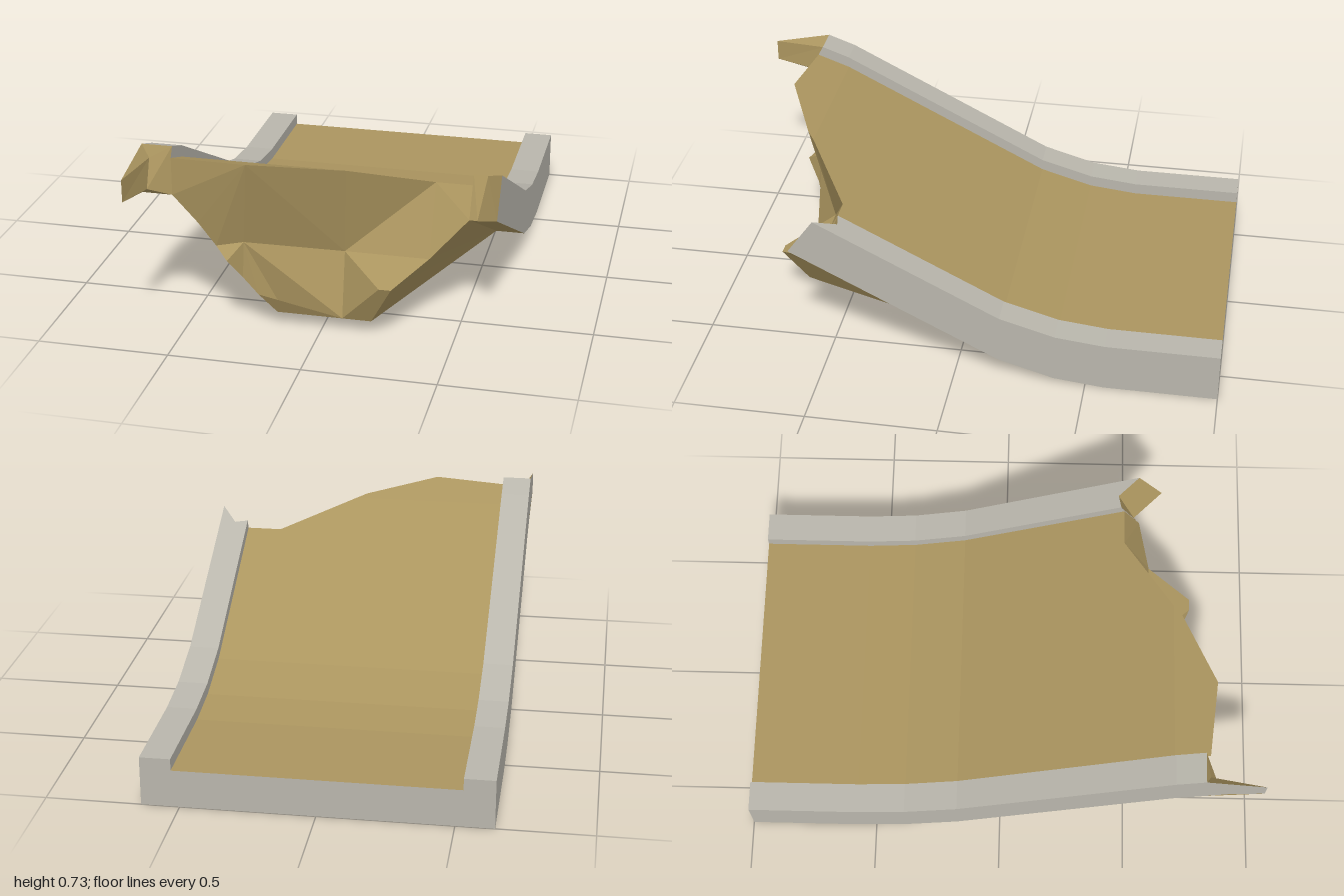
import * as THREE from 'three';

const BREAKS = [-1, -0.57, -0.38, -0.17, 0.66, 1];
const BASE = [0, 0, 0.02, 0.08, 0.50, 0.622];
const OUT = 0.643, INN = 0.528, DECK = 0.145, RAIL = 0.19;

// Height of the slab's lower line at depth z
function base(z) {
  let i = 0;
  while (i < BREAKS.length - 2 && z > BREAKS[i + 1]) i++;
  const t = (z - BREAKS[i]) / (BREAKS[i + 1] - BREAKS[i]);
  return BASE[i] + t * (BASE[i + 1] - BASE[i]);
}
const on = (x, off, z) => [x, base(z) + off, z];

// Fan of triangles, each turned to face the outward direction
function fan(tris, dir, ...pts) {
  const d = new THREE.Vector3(...dir);
  const v = pts.map((p) => new THREE.Vector3(...p));
  for (let i = 1; i < v.length - 1; i++) {
    const n = v[i].clone().sub(v[0]).cross(v[i + 1].clone().sub(v[0]));
    if (n.length() < 1e-7) continue;
    const order = n.dot(d) < 0 ? [v[0], v[i + 1], v[i]] : [v[0], v[i], v[i + 1]];
    order.forEach((p) => tris.push(p.x, p.y, p.z));
  }
}

// Lengthwise strip between two lines [x, height offset, end z] following the slope
function strip(tris, dir, a, b) {
  const at = (l, z) => on(l[0], l[1], Math.min(z, l[2]));
  for (let i = 0; i < BREAKS.length - 1; i++) {
    const z0 = BREAKS[i], z1 = BREAKS[i + 1];
    fan(tris, dir, at(a, z0), at(b, z0), at(b, z1), at(a, z1));
  }
}

export function createModel() {
  const group = new THREE.Group();
  const earth = new THREE.MeshStandardMaterial({ color: 0xab955f, flatShading: true });
  earth.name = 'ochre earth';
  const stone = new THREE.MeshStandardMaterial({ color: 0xb9b6ac, flatShading: true });
  stone.name = 'grey stone';

  function part(name, material, build) {
    const tris = [];
    build(tris);
    const geo = new THREE.BufferGeometry();
    geo.setAttribute('position', new THREE.Float32BufferAttribute(tris, 3));
    geo.computeVertexNormals();
    const mesh = new THREE.Mesh(geo, material);
    mesh.name = name;
    group.add(mesh);
  }

  const UP = [0, 1, 0], DOWN = [0, -1, 0], FRONT = [0, 0, 1];

  // Broken front edge of the deck: [x, z]
  const edge = [[-INN, 0.79], [-0.24, 0.82], [0.05, 0.69], [0.09, 0.66], [0.39, 0.475], [INN, 0.475]];
  const T = edge.map(([x, z]) => on(x, DECK, z));

  part('deck', earth, (t) => {
    for (let i = 0; i < edge.length - 1; i++) {
      strip(t, UP, [edge[i][0], DECK, edge[i][1]], [edge[i + 1][0], DECK, edge[i + 1][1]]);
    }
  });

  // Curbs: top, inner and outer faces
  part('leftCurb', stone, (t) => {
    strip(t, UP, [INN, RAIL, 0.46], [0.58, RAIL, 0.45]);
    strip(t, UP, [0.58, RAIL, 0.45], [OUT, RAIL, 0.53]);
    strip(t, [-1, 0, 0], [INN, RAIL, 0.46], [INN, DECK, 0.475]);
    strip(t, [1, 0, 0], [OUT, RAIL, 0.53], [OUT, 0, 0.63]);
  });
  const A = [-OUT, 0.68, 1], B = [-OUT, 0.595, 1], C = [-0.61, 0.685, 0.79], D = [-0.61, 0.578, 0.83];
  const E = on(-OUT, RAIL, 0.77), F = on(-INN, RAIL, 0.77);
  const G = on(-INN, 0, 0.79), H = on(-OUT, 0, 0.785);
  part('rightCurb', stone, (t) => {
    strip(t, UP, [-INN, RAIL, 0.77], [-OUT, RAIL, 0.77]);
    strip(t, [1, 0, 0], [-INN, RAIL, 0.77], [-INN, DECK, 0.79]);
    strip(t, [-1, 0, 0], [-OUT, RAIL, 0.77], [-OUT, 0, 0.785]);
    fan(t, [-1, 0, 0], E, A, B, [-OUT, 0.578, 0.87], H);
  });

  // Rear end with its notch
  part('rearFace', stone, (t) => {
    const back = [0, 0, -1];
    fan(t, back, [-INN, 0, -1], [INN, 0, -1], [INN, DECK, -1], [-INN, DECK, -1]);
    for (const s of [-1, 1]) {
      fan(t, back, [s * INN, 0, -1], [s * OUT, 0, -1], [s * OUT, RAIL, -1], [s * INN, RAIL, -1]);
    }
  });

  // Broken curb ends, with the splinter on the right one
  part('leftCurbEnd', earth, (t) => {
    const top = on(0.58, RAIL, 0.45), low = on(0.555, 0, 0.52);
    fan(t, FRONT, on(INN, RAIL, 0.46), top, low, on(INN, 0, 0.54));
    fan(t, FRONT, top, on(OUT, RAIL, 0.53), on(OUT, 0, 0.63), low);
  });
  part('rightCurbEnd', earth, (t) => {
    fan(t, [0, 1, 1], E, F, C);
    fan(t, [0, 1, 0.2], E, C, A);
    fan(t, [1, 0, 0.2], C, A, B, D);
    fan(t, FRONT, F, C, D, G);
    fan(t, DOWN, H, D, B, [-OUT, 0.578, 0.87]);
    fan(t, DOWN, G, D, H);
  });

  // Points of the broken mass under the deck
  const BL = [-0.17, 0.055, 0.68], BR = [0.19, 0.055, 0.68], BM = [0.08, 0.055, 0.68];
  const L1 = [-0.44, 0.435, 0.77], L2 = [-0.38, 0.34, 0.75], L3 = [-0.325, 0.305, 0.8];
  const L4 = [-0.28, 0.22, 0.75], L5 = [-0.23, 0.14, 0.72], L6 = [-0.16, 0.1, 0.69];
  const M1 = [-0.28, 0.355, 0.73], M2 = [0.07, 0.29, 0.59];
  const R1 = [0.39, 0.29, 0.59], R2 = [0.28, 0.23, 0.76], R3 = [0.235, 0.23, 0.76];
  const RS = on(INN, 0, 0.54);

  part('underside', earth, (t) => {
    strip(t, DOWN, [-INN, 0, -0.38], [INN, 0, -0.38]);
    strip(t, DOWN, [-OUT, 0, 0.785], [-INN, 0, 0.79]);
    strip(t, DOWN, [INN, 0, 0.54], [0.555, 0, 0.52]);
    strip(t, DOWN, [0.555, 0, 0.52], [OUT, 0, 0.63]);
    const SL = on(-INN, 0, -0.38), SR = on(INN, 0, -0.38);
    const SL1 = on(-INN, 0, -0.17), SR1 = on(INN, 0, -0.17);
    fan(t, DOWN, SL, SR, BR, BL);
    fan(t, [-0.5, -1, 0], SL, SL1, BL);
    fan(t, [0.5, -1, 0], SR, SR1, BR);
    fan(t, [-1, -1, 0.5], SL1, on(-INN, 0, 0.66), G, L1, L2, L3, L4, L5, BL);
    fan(t, [1, -1, 0.5], SR1, RS, R1, R2, BR);
  });

  part('brokenFace', earth, (t) => {
    // upper facets
    fan(t, FRONT, T[1], T[0], G, L1, L2, M1);
    fan(t, FRONT, T[1], M1, M2, T[2]);
    fan(t, FRONT, M2, R1, T[4], T[3], T[2]);
    fan(t, FRONT, T[4], R1, RS, T[5]);
    // lower facets
    fan(t, FRONT, M1, L2, L3);
    fan(t, FRONT, M1, L3, L4, L5, L6, BM, M2);
    fan(t, FRONT, BM, L6, L5, BL);
    // jutting chunk
    fan(t, [0, 1, 0.3], M2, R1, R2, R3);
    fan(t, [-1, 1, 1], M2, R3, BM);
    fan(t, FRONT, BM, R3, R2, BR);
  });

  return group;
}
